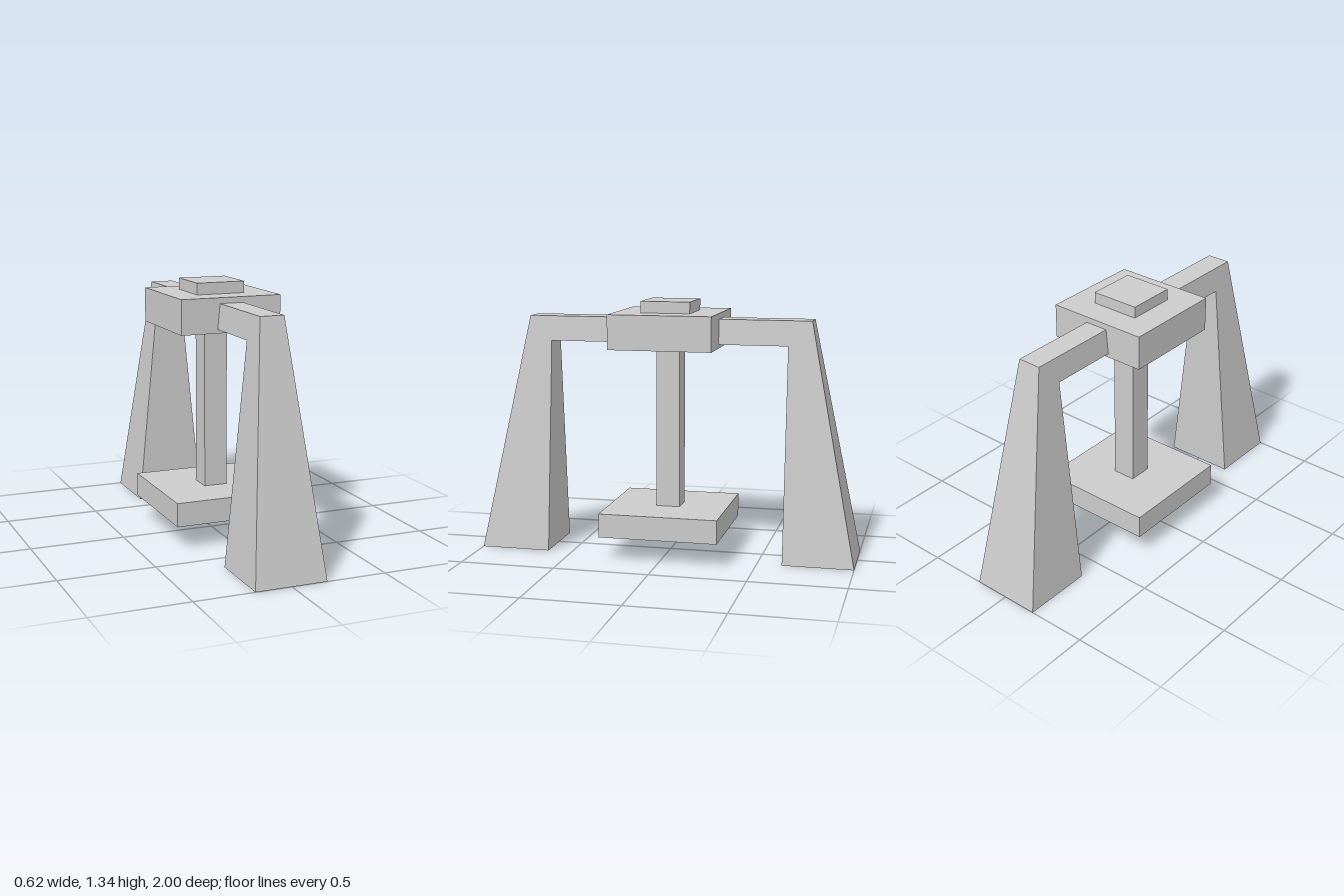
import * as THREE from 'three';

const material = new THREE.MeshStandardMaterial({ color: 0xcccccc, flatShading: true });

// Square block centred on the vertical axis
function block(name, width, bottom, top) {
  const mesh = new THREE.Mesh(new THREE.BoxGeometry(width, top - bottom, width), material);
  mesh.name = name;
  mesh.position.y = (bottom + top) / 2;
  return mesh;
}

// Leg and arm in one bent piece: side profile (z, y), narrowing in x with height
function legGeometry() {
  const profile = new THREE.Shape([
    [1, 0], [0.75, 1.25], [0.27, 1.25], [0.27, 1.12], [0.63, 1.12], [0.63, 0],
  ].map(([z, y]) => new THREE.Vector2(z, y)));
  const geometry = new THREE.ExtrudeGeometry(profile, { depth: 2, bevelEnabled: false });
  geometry.translate(0, 0, -1).rotateY(-Math.PI / 2);
  const pos = geometry.attributes.position;
  for (let i = 0; i < pos.count; i++) {
    const halfWidth = THREE.MathUtils.lerp(0.1875, 0.0625, pos.getY(i) / 1.25);
    pos.setX(i, pos.getX(i) * halfWidth);
  }
  geometry.computeVertexNormals();
  return geometry;
}

export function createModel() {
  const model = new THREE.Group();
  model.name = 'frame';

  // Hanging platform, its column, the head block and the cap
  model.add(
    block('platform', 0.625, 0.125, 0.25),
    block('column', 0.125, 0.25, 1.1),
    block('head', 0.54, 1.1, 1.28),
    block('cap', 0.26, 1.28, 1.34),
  );

  // Front leg and its twin at the back
  const geometry = legGeometry();
  ['frontLeg', 'backLeg'].forEach((name, i) => {
    const leg = new THREE.Mesh(geometry, material);
    leg.name = name;
    leg.rotation.y = i * Math.PI;
    model.add(leg);
  });

  return model;
}
